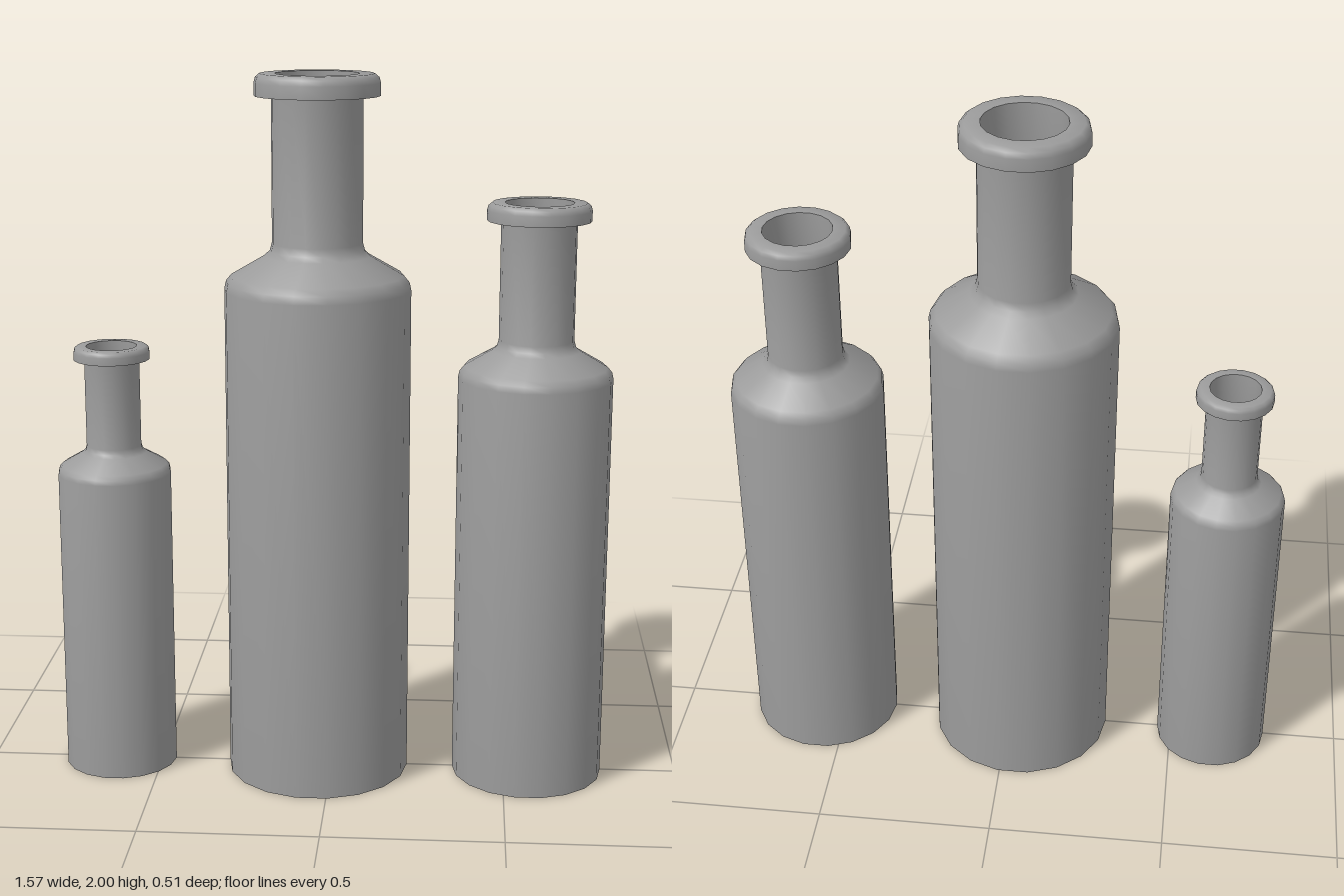
import * as THREE from 'three';
import { toCreasedNormals } from 'three/addons/utils/BufferGeometryUtils.js';

const SIDES = 18;

// Lathe a [radius, height] profile, smooth except at sharp corners
function turned(profile) {
  const points = profile.map(([r, y]) => new THREE.Vector2(r, y));
  const geometry = new THREE.LatheGeometry(points, SIDES);
  geometry.rotateY(Math.PI / 2);
  return toCreasedNormals(geometry, 0.75);
}

export function createModel() {
  const model = new THREE.Group();
  const material = new THREE.MeshStandardMaterial({ color: 0x9b9b9b, side: THREE.DoubleSide });

  // Base, body, rounded shoulder and neck
  const shell = turned([
    [0, 0], [0.26, 0], [0.26, 1.41], [0.255, 1.432], [0.24, 1.45],
    [0.147, 1.504], [0.132, 1.518], [0.126, 1.54], [0.126, 1.94],
  ]);

  // Collar with a softened upper edge
  const lip = turned([
    [0.126, 1.94], [0.173, 1.94], [0.173, 1.975], [0.169, 1.99],
    [0.157, 2], [0.115, 2],
  ]);

  // Hollow inside, from the mouth down to the inner floor
  const hollow = turned([
    [0.115, 2], [0.115, 1.53], [0.135, 1.495], [0.23, 1.435],
    [0.245, 1.41], [0.245, 0.02], [0, 0.02],
  ]);

  const parts = { shell, lip, hollow };

  // Three sizes of the same bottle in a row
  const bottles = [
    ['smallBottle', -0.622, 0.621],
    ['largeBottle', -0.04, 1],
    ['mediumBottle', 0.568, 0.828],
  ];
  for (const [name, x, scale] of bottles) {
    const bottle = new THREE.Group();
    bottle.name = name;
    for (const [part, geometry] of Object.entries(parts)) {
      const mesh = new THREE.Mesh(geometry, material);
      mesh.name = part;
      bottle.add(mesh);
    }
    bottle.position.x = x;
    bottle.scale.setScalar(scale);
    model.add(bottle);
  }
  return model;
}
